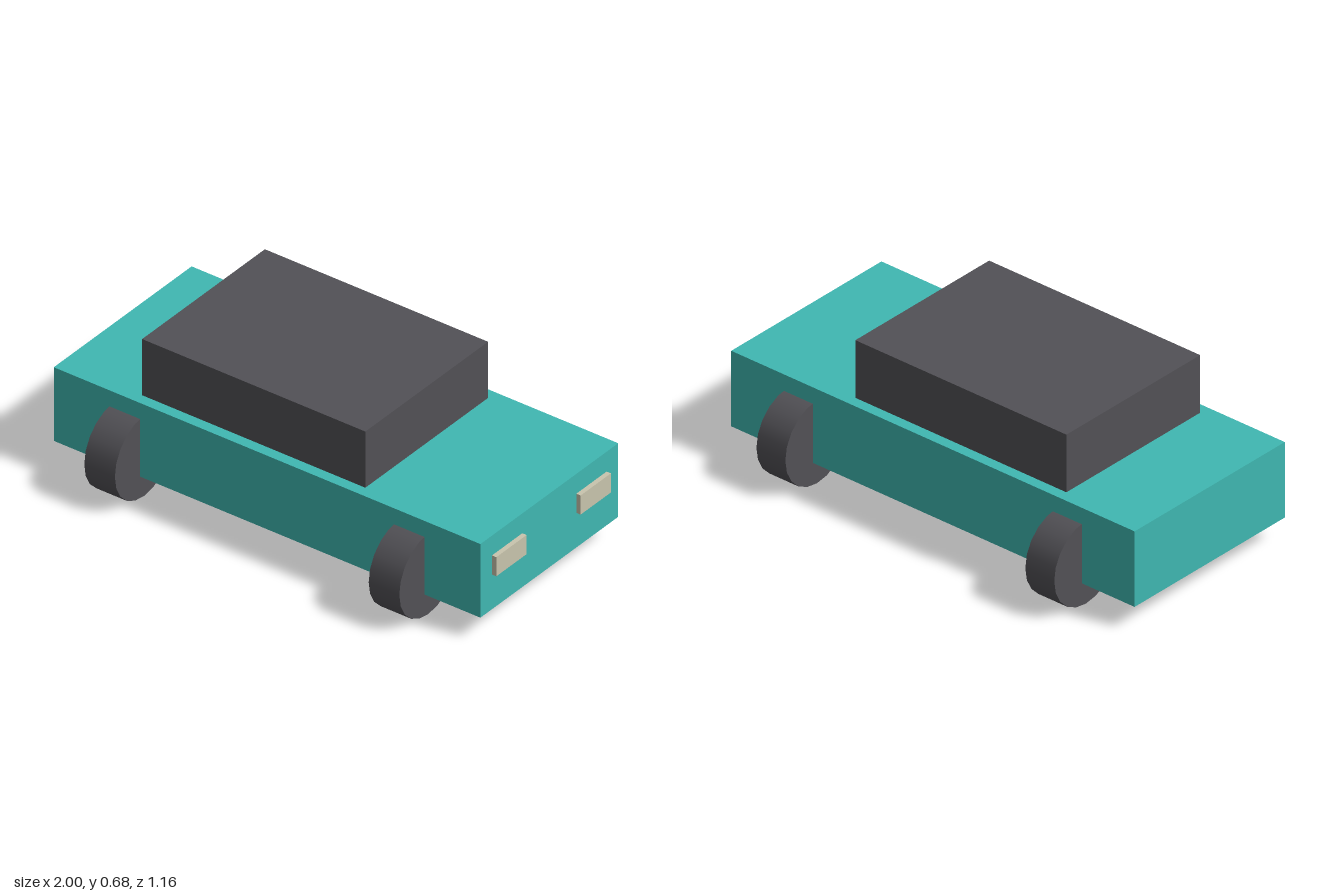
import * as THREE from 'three';

export function createModel() {
  const paint = (name, color) => {
    const m = new THREE.MeshStandardMaterial({ color });
    m.name = name;
    return m;
  };
  const teal = paint('teal', 0x40b8b2);
  const charcoal = paint('charcoal', 0x525156);
  const cream = paint('cream', 0xc9c5ae);

  const car = new THREE.Group();
  car.name = 'car';

  const add = (name, geometry, material, x, y, z) => {
    const mesh = new THREE.Mesh(geometry, material);
    mesh.name = name;
    mesh.position.set(x, y, z);
    car.add(mesh);
  };

  // Body slab and cabin block
  add('body', new THREE.BoxGeometry(1.98, 0.327, 0.85), teal, -0.01, 0.262, 0);
  add('cabin', new THREE.BoxGeometry(1.036, 0.25, 0.757), charcoal, -0.107, 0.55, 0);

  // Wheels roll about the x axis; headlights sit on the +x end
  const wheel = new THREE.CylinderGeometry(0.179, 0.179, 0.142, 20).rotateZ(Math.PI / 2);
  const lamp = new THREE.BoxGeometry(0.04, 0.085, 0.187);
  for (const [side, s] of [['Front', 1], ['Back', -1]]) {
    add('wheelLeft' + side, wheel, charcoal, 0.65, 0.179, s * 0.402);
    add('wheelRight' + side, wheel, charcoal, -0.67, 0.179, s * 0.402);
    add('headlight' + side, lamp, cream, 0.98, 0.295, s * 0.26);
  }
  return car;
}
